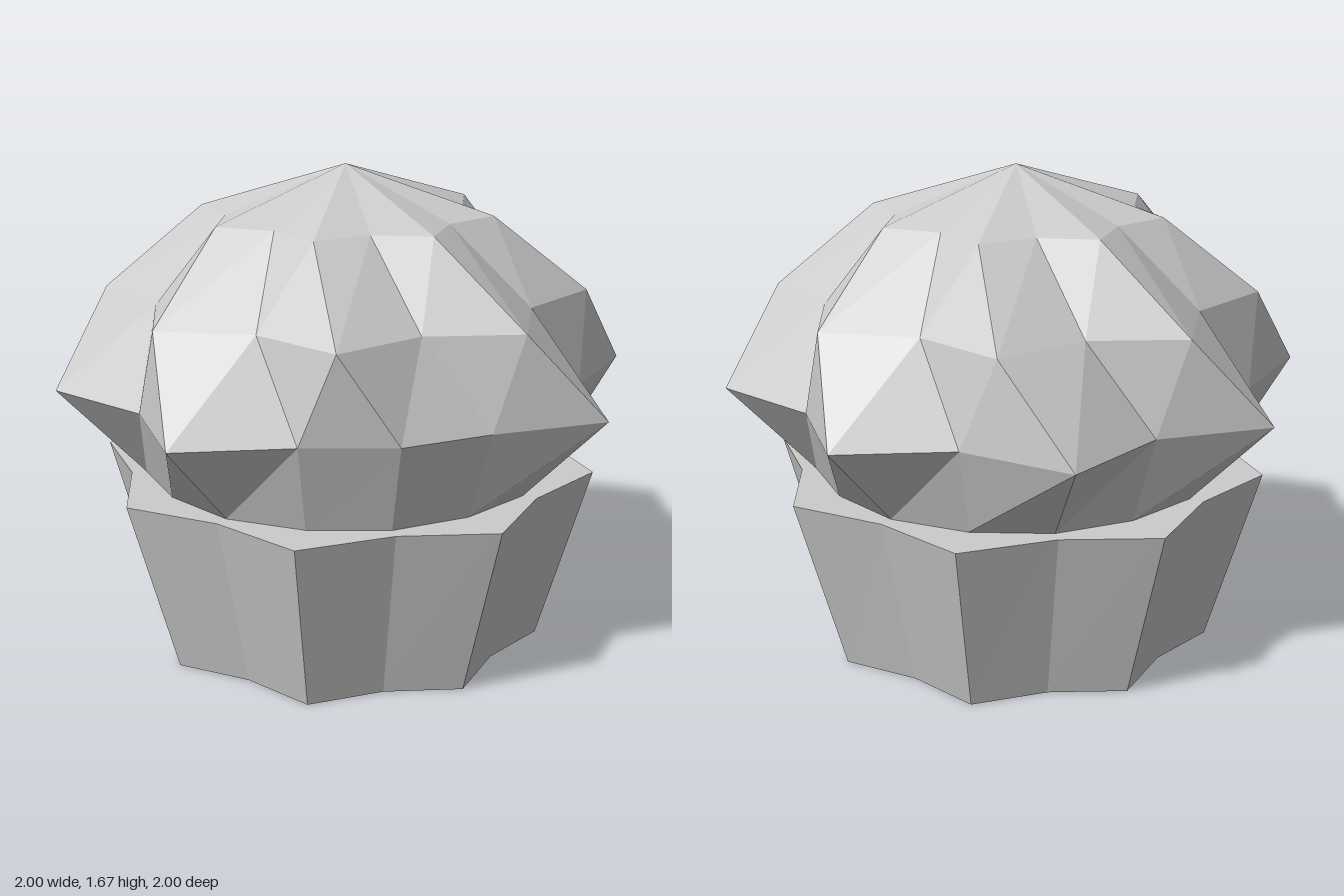
import * as THREE from 'three';

const LOBES = 8, SIDES = LOBES * 2;

// Star-shaped ring: tips and valleys alternate; angle (degrees) runs from +x towards +z
function starRing(y, tip, valley, startAngle) {
  return Array.from({ length: SIDES }, (_, i) => {
    const a = THREE.MathUtils.degToRad(startAngle + (i * 360) / SIDES);
    const r = i % 2 ? valley : tip;
    return new THREE.Vector3(r * Math.cos(a), y, r * Math.sin(a));
  });
}

// Skin a stack of rings (bottom to top) and close both ends with a fan
function skinRings(rings, bottomY, topY) {
  const pos = [];
  const tri = (...corners) => corners.forEach((p) => pos.push(p.x, p.y, p.z));
  const bottom = new THREE.Vector3(0, bottomY, 0);
  const top = new THREE.Vector3(0, topY, 0);
  const first = rings[0], last = rings[rings.length - 1];
  for (let i = 0; i < SIDES; i++) {
    const j = (i + 1) % SIDES;
    for (let k = 0; k + 1 < rings.length; k++) {
      const lo = rings[k], hi = rings[k + 1];
      tri(lo[i], hi[i], lo[j]);
      tri(lo[j], hi[i], hi[j]);
    }
    tri(bottom, first[i], first[j]);
    tri(top, last[j], last[i]);
  }
  const geo = new THREE.BufferGeometry();
  geo.setAttribute('position', new THREE.Float32BufferAttribute(pos, 3));
  geo.computeVertexNormals();
  return geo;
}

export function createModel() {
  const group = new THREE.Group();
  const material = new THREE.MeshStandardMaterial({ color: 0xcccccc, flatShading: true });
  const add = (name, geometry) => {
    const mesh = new THREE.Mesh(geometry, material);
    mesh.name = name;
    group.add(mesh);
  };

  // Pleated paper cup
  add('wrapper', skinRings([
    starRing(0, 0.69, 0.6, 22.5),
    starRing(0.62, 0.87, 0.755, 22.5),
  ], 0, 0.62));

  // Swirled frosting, with one lobe pressed in at the front left
  const rim = starRing(0.932, 1, 0.81, 0);
  rim[2].multiply(new THREE.Vector3(0.813, 1, 0.813));
  add('frosting', skinRings([
    starRing(0.62, 0.705, 0.7, 0),
    rim,
    starRing(1.238, 0.825, 0.67, 14),
    starRing(1.508, 0.505, 0.41, 23.5),
  ], 0.62, 1.667));

  return group;
}
